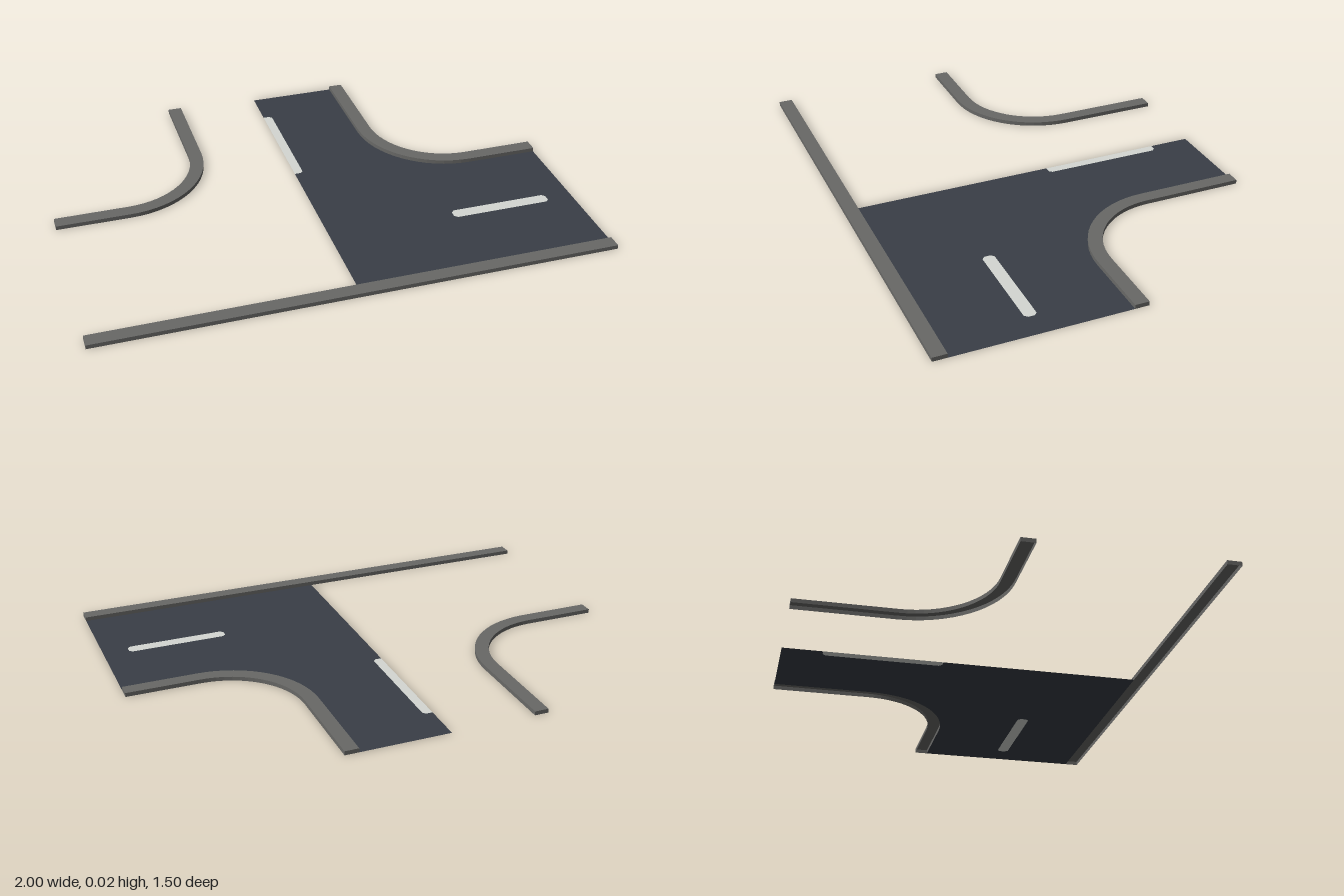
import * as THREE from 'three';

const material = (name, color) =>
  new THREE.MeshStandardMaterial({ name, color, side: THREE.DoubleSide });

// Kerb ring: inner and outer edges of the rounded corner share one centre
const CENTER = [0.71, -0.35], R_ROAD = 0.365, R_VERGE = 0.31;
const KERB_HEIGHT = 0.016, BACK = -0.75, FRONT = 0.75, KERB_Z = 0.695, SIDE = 1;
const ROAD_START = -0.01;

// Points [x, z] of one corner edge, from the back end to the side end
function cornerEdge(radius, segments = 16) {
  const points = [[CENTER[0] - radius, BACK]];
  for (let i = 0; i <= segments; i++) {
    const a = (i / segments) * Math.PI / 2;
    points.push([CENTER[0] - radius * Math.cos(a), CENTER[1] + radius * Math.sin(a)]);
  }
  points.push([SIDE, CENTER[1] + radius]);
  return points;
}

// Kerb channel between two edges: top, both walls and end caps, open below
function kerbGeometry(edgeA, edgeB) {
  const positions = [];
  const quad = (a, b, c, d) => positions.push(...a, ...b, ...c, ...a, ...c, ...d);
  const lo = ([x, z]) => [x, 0, z];
  const hi = ([x, z]) => [x, KERB_HEIGHT, z];
  const last = edgeA.length - 1;
  for (let i = 0; i < last; i++) {
    const [a, b, c, d] = [edgeA[i], edgeA[i + 1], edgeB[i + 1], edgeB[i]];
    quad(hi(a), hi(b), hi(c), hi(d));
    quad(lo(a), lo(b), hi(b), hi(a));
    quad(lo(c), lo(d), hi(d), hi(c));
  }
  quad(lo(edgeB[0]), lo(edgeA[0]), hi(edgeA[0]), hi(edgeB[0]));
  quad(lo(edgeA[last]), lo(edgeB[last]), hi(edgeB[last]), hi(edgeA[last]));
  const geometry = new THREE.BufferGeometry();
  geometry.setAttribute('position', new THREE.Float32BufferAttribute(positions, 3));
  geometry.computeVertexNormals();
  return geometry;
}

// Flat sheet lying on the ground from [x, z] points
const toVectors = (points) => points.map(([x, z]) => new THREE.Vector2(x, -z));
function sheet(points, holes = []) {
  const shape = new THREE.Shape(toVectors(points));
  holes.forEach((hole) => shape.holes.push(new THREE.Path(toVectors(hole))));
  return new THREE.ShapeGeometry(shape).rotateX(-Math.PI / 2);
}

export function createModel() {
  const group = new THREE.Group();
  group.name = 'roadJunction';
  const asphalt = material('asphalt', 0x393e46);
  const concrete = material('kerbConcrete', 0x686866);
  const paint = material('linePaint', 0xd4d7d2);
  const add = (name, geometry, mat) => {
    const mesh = new THREE.Mesh(geometry, mat);
    mesh.name = name;
    group.add(mesh);
  };

  // Painted dashes: one whole, one cut off at the road's open edge
  const c = 0.012;
  const [x0, x1, z0, z1] = [0.497, 0.898, 0.332, 0.38];
  const sideDash = [
    [x0, z0 + c], [x0 + c, z0], [x1 - c, z0], [x1, z0 + c],
    [x1, z1 - c], [x1 - c, z1], [x0 + c, z1], [x0, z1 - c],
  ];
  const backDash = [
    [ROAD_START, -0.587], [0.015, -0.587], [0.026, -0.575],
    [0.026, -0.117], [0.015, -0.105], [ROAD_START, -0.105],
  ];
  add('sideDash', sheet(sideDash), paint);
  add('backDash', sheet(backDash), paint);

  // Road surface, fitted around the dashes and up to the kerbs
  const road = [
    [ROAD_START, BACK], ...cornerEdge(R_ROAD), [SIDE, KERB_Z],
    [ROAD_START, KERB_Z], ...[...backDash].reverse(),
  ];
  add('roadSurface', sheet(road, [sideDash]), asphalt);

  // Straight kerb along the front
  add('frontKerb', kerbGeometry(
    [[-SIDE, FRONT], [SIDE, FRONT]], [[-SIDE, KERB_Z], [SIDE, KERB_Z]]), concrete);

  // Rounded corner kerbs, mirrored left and right
  const inner = cornerEdge(R_ROAD), outer = cornerEdge(R_VERGE);
  const mirror = (points) => points.map(([x, z]) => [-x, z]);
  add('leftCornerKerb', kerbGeometry(inner, outer), concrete);
  add('rightCornerKerb', kerbGeometry(mirror(outer), mirror(inner)), concrete);
  return group;
}
